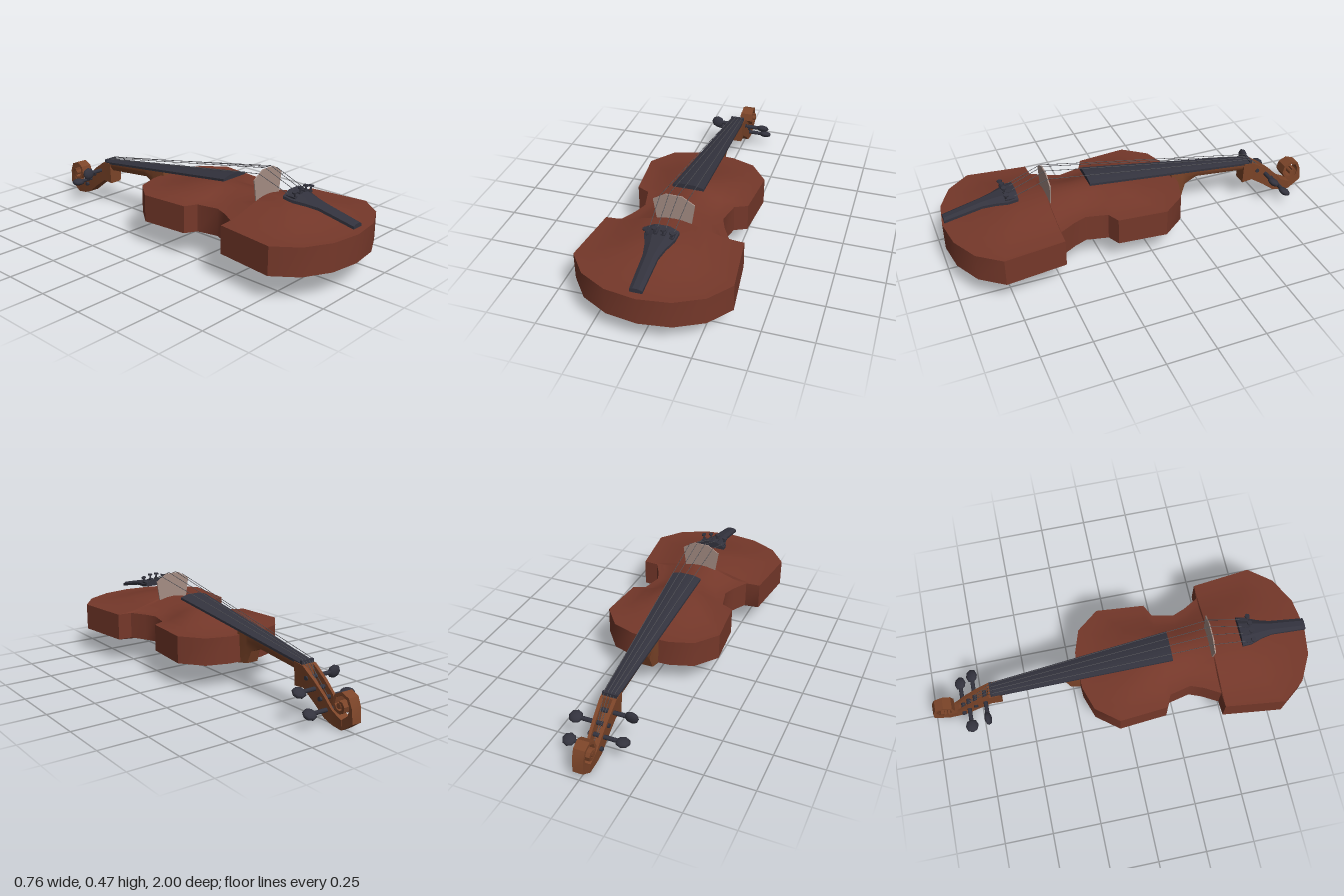
import * as THREE from 'three';
import { toCreasedNormals } from 'three/addons/utils/BufferGeometryUtils.js';

const mat = (color) => new THREE.MeshStandardMaterial({ color });
const varnish = mat(0x75382a);
const maple = mat(0x7d4529);
const ebony = mat(0x33333e);
const bridgeWood = mat(0xa58d84);
const steel = mat(0x55555a);

// Skins a list of equal-length rings of [x, y, z] points and caps both ends.
function loft(rings, crease = 0.6) {
  const n = rings[0].length;
  const last = (rings.length - 1) * n;
  const index = [];
  for (let i = 0; i < rings.length - 1; i++) {
    for (let j = 0; j < n; j++) {
      const a = i * n + j, b = i * n + (j + 1) % n;
      index.push(a, b, b + n, a, b + n, a + n);
    }
  }
  for (let k = 1; k < n - 1; k++) index.push(0, k + 1, k, last, last + k, last + k + 1);
  const geo = new THREE.BufferGeometry();
  geo.setAttribute('position', new THREE.Float32BufferAttribute(rings.flat(2), 3));
  geo.setIndex(index);
  return toCreasedNormals(geo, crease);
}

function add(parent, name, geo, material, pos = [0, 0, 0]) {
  const mesh = new THREE.Mesh(geo, material);
  mesh.name = name;
  mesh.position.set(...pos);
  parent.add(mesh);
  return mesh;
}

// Thin board with an arched top; sections are [z, top, halfWidth, thickness, arch].
const board = (sections) => loft(sections.map(([z, y, w, t, arch]) => [
  [w, y - arch, z], [w, y - arch - t, z], [-w, y - arch - t, z],
  [-w, y - arch, z], [-w * 0.45, y, z], [w * 0.45, y, z],
]), 0.3);

function rod(parent, name, from, to, radius, material, sides = 6) {
  const a = new THREE.Vector3(...from), b = new THREE.Vector3(...to);
  const dir = b.clone().sub(a);
  const mesh = add(parent, name, new THREE.CylinderGeometry(radius, radius, dir.length(), sides), material);
  mesh.position.copy(a).add(b).multiplyScalar(0.5);
  mesh.quaternion.setFromUnitVectors(new THREE.Vector3(0, 1, 0), dir.normalize());
  return mesh;
}

// Hollow body: arched back, straight ribs and arched belly over one outline.
function bodyGeometry() {
  const half = [
    [0.155, 0.975], [0.29, 0.905], [0.38, 0.79], [0.345, 0.485], [0.27, 0.48], [0.225, 0.4],
    [0.2, 0.335], [0.225, 0.225], [0.288, 0.195], [0.31, -0.055], [0.22, -0.17], [0.1, -0.21],
  ];
  const outline = [[0, 0.997], ...half, [0, -0.215], ...half.map(([x, z]) => [-x, z]).reverse()];
  const ring = (s, y) => outline.map(([x, z]) => {
    const spine = THREE.MathUtils.clamp(z, 0.2, 0.58);
    return [x * s, y, spine + (z - spine) * s];
  });
  return loft([
    ring(0, 0.115), ring(0.4, 0.119), ring(0.75, 0.13), ring(1, 0.137),
    ring(1, 0.278),
    ring(0.85, 0.281), ring(0.7, 0.289), ring(0.5, 0.307), ring(0.3, 0.326), ring(0.15, 0.335), ring(0, 0.338),
  ]);
}

// Neck with heel; sections are [z, top, bottom, half width of top, half width of bottom].
function neckGeometry() {
  return loft([
    [-0.195, 0.3, 0.128, 0.044, 0.04],
    [-0.262, 0.3, 0.14, 0.043, 0.032],
    [-0.285, 0.297, 0.205, 0.043, 0.025],
    [-0.35, 0.288, 0.235, 0.042, 0.022],
    [-0.63, 0.25, 0.205, 0.037, 0.02],
  ].map(([z, t, b, w, v]) => [
    [w, t, z], [w, t - (t - b) * 0.4, z], [v, b, z], [-v, b, z], [-w, t - (t - b) * 0.4, z], [-w, t, z],
  ]));
}

// Pegbox trough; sections are [z, top, bottom, floor, half width].
function pegboxGeometry() {
  return loft([
    [-0.63, 0.25, 0.13, 0.25, 0.042],
    [-0.69, 0.242, 0.135, 0.242, 0.041],
    [-0.7, 0.235, 0.128, 0.17, 0.041],
    [-0.765, 0.19, 0.082, 0.12, 0.038],
    [-0.83, 0.135, 0.03, 0.075, 0.034],
    [-0.87, 0.093, 0.015, 0.06, 0.031],
    [-0.885, 0.08, 0.011, 0.08, 0.03],
    [-0.937, 0.055, 0.004, 0.055, 0.028],
  ].map(([z, t, b, f, w]) => [
    [w, t, z], [w * 0.85, b, z], [-w * 0.85, b, z], [-w, t, z],
    [-w * 0.55, t, z], [-w * 0.55, f, z], [w * 0.55, f, z], [w * 0.55, t, z],
  ]), 0.4);
}

// Scroll: a band curling inward while it widens towards the eye.
function scrollGeometry() {
  const radii = [0.121, 0.1, 0.064, 0.063, 0.062, 0.058, 0.052, 0.047, 0.042, 0.037, 0.032, 0.028, 0.024];
  return loft(radii.map((r, i) => {
    const a = i * Math.PI / 4;
    const inner = r - (i === 0 ? 0.05 : i === 1 ? 0.045 : 0.016);
    const w = 0.024 + 0.021 * i / (radii.length - 1);
    const at = (x, q) => [x, 0.125 - Math.cos(a) * q, -0.937 - Math.sin(a) * q];
    return [at(w, inner), at(w, r), at(-w, r), at(-w, inner)];
  }), 0.4);
}

export function createModel() {
  const model = new THREE.Group();
  model.name = 'violin';

  add(model, 'body', bodyGeometry(), varnish);
  add(model, 'neck', neckGeometry(), maple);
  add(model, 'pegbox', pegboxGeometry(), maple);
  add(model, 'scroll', scrollGeometry(), maple);
  const eye = add(model, 'scrollEye', new THREE.CylinderGeometry(0.014, 0.014, 0.092, 8), maple, [0, 0.125, -0.937]);
  eye.rotation.z = Math.PI / 2;

  add(model, 'fingerboard', board([
    [0.265, 0.392, 0.08, 0.012, 0.012],
    [-0.665, 0.257, 0.038, 0.012, 0.006],
  ]), ebony);
  add(model, 'nut', new THREE.BoxGeometry(0.074, 0.02, 0.014), ebony, [0, 0.252, -0.672]);

  add(model, 'tailpiece', board([
    [0.988, 0.328, 0.03, 0.014, 0.008],
    [0.8, 0.372, 0.036, 0.014, 0.012],
    [0.74, 0.384, 0.05, 0.014, 0.016],
    [0.68, 0.396, 0.073, 0.014, 0.02],
    [0.63, 0.408, 0.079, 0.014, 0.022],
  ]), ebony);

  // Bridge
  const bridgeShape = new THREE.Shape([
    [-0.085, 0.315], [0.085, 0.315], [0.103, 0.43], [0.04, 0.469], [-0.04, 0.469], [-0.103, 0.43],
  ].map(([x, y]) => new THREE.Vector2(x, y)));
  add(model, 'bridge', new THREE.ExtrudeGeometry(bridgeShape, { depth: 0.006, bevelEnabled: false }), bridgeWood, [0, 0, 0.472]);

  // Pegs: [side, y, z]
  const pegs = [[-1, 0.19, -0.715], [1, 0.155, -0.77], [-1, 0.118, -0.81], [1, 0.075, -0.845]];
  pegs.forEach(([side, y, z], i) => {
    const peg = new THREE.Group();
    peg.name = 'peg' + (i + 1);
    peg.position.set(0, y, z);
    rod(peg, 'pegShaft', [-side * 0.045, 0, 0], [side * 0.115, 0, 0], 0.011, ebony, 8);
    const head = add(peg, 'pegHead', new THREE.CylinderGeometry(0.024, 0.034, 0.045, 8), ebony, [side * 0.13, 0, 0]);
    head.geometry = new THREE.SphereGeometry(1, 8, 6);
    head.scale.set(0.036, 0.018, 0.034);
    head.rotation.x = i === 0 ? 1.4 : i === 2 ? 0 : -0.5;
    model.add(peg);
  });

  // Strings with a fine tuner each
  const order = [0, 2, 3, 1];
  [-0.068, -0.022, 0.022, 0.068].forEach((x, i) => {
    const outer = Math.abs(x) > 0.05;
    const tx = x * 0.88, ty = outer ? 0.394 : 0.406;
    const tuner = new THREE.Group();
    tuner.name = 'fineTuner' + (i + 1);
    tuner.position.set(tx, ty, 0.685);
    rod(tuner, 'tunerScrew', [0, -0.015, 0], [0, 0.02, 0], 0.005, ebony);
    add(tuner, 'tunerKnob', new THREE.CylinderGeometry(0.013, 0.013, 0.008, 8), ebony, [0, 0.02, 0]);
    add(tuner, 'tunerLever', new THREE.BoxGeometry(0.02, 0.008, 0.05), ebony, [0, -0.006, -0.02]);
    tuner.rotation.z = -x * 3;
    model.add(tuner);

    const [, py, pz] = pegs[order[i]];
    const path = [
      [tx, ty, 0.645], [x, outer ? 0.455 : 0.474, 0.475], [x * 0.4, 0.266, -0.668], [x * 0.22, py + 0.01, pz],
    ];
    for (let k = 0; k < 3; k++) rod(model, 'string' + (i + 1), path[k], path[k + 1], 0.0016, steel, 5);
  });

  return model;
}
